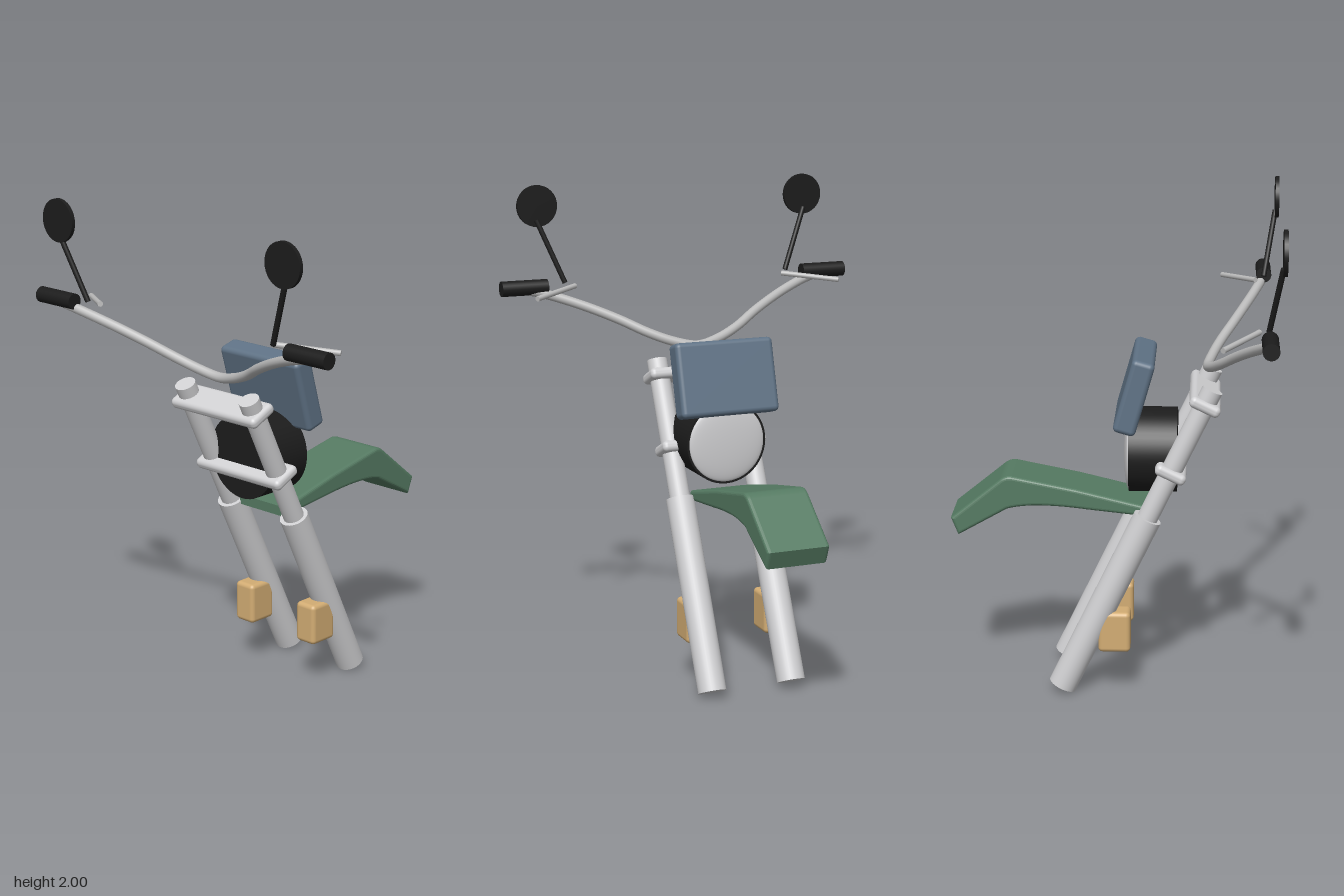
import * as THREE from 'three';
import { RoundedBoxGeometry } from 'three/addons/geometries/RoundedBoxGeometry.js';

const mat = (name, color) => {
  const m = new THREE.MeshStandardMaterial({ color });
  m.name = name;
  return m;
};

export function createModel() {
  const silver = mat('silver', 0xd0d0d2);
  const steel = mat('steel', 0xbababa);
  const black = mat('black', 0x1c1c1c);
  const green = mat('green', 0x557a62);
  const blueGrey = mat('blueGrey', 0x5f7285);
  const tan = mat('tan', 0xd2ac73);

  const group = new THREE.Group();
  const V = (x, y, z) => new THREE.Vector3(x, y, z);

  const add = (name, geometry, material, x = 0, y = 0, z = 0) => {
    const m = new THREE.Mesh(geometry, material);
    m.name = name;
    m.position.set(x, y, z);
    group.add(m);
    return m;
  };

  // Round bar between two points
  const rod = (name, a, b, r, material, sides = 24) => {
    const d = b.clone().sub(a);
    const m = add(name, new THREE.CylinderGeometry(r, r, d.length(), sides), material);
    m.position.copy(a).add(b).multiplyScalar(0.5);
    m.quaternion.setFromUnitVectors(V(0, 1, 0), d.normalize());
    return m;
  };

  // Points on the raked fork line, by height
  const rake = 0.444;
  const forkX = (y) => 0.205 - (y - 0.03) * Math.tan(rake);

  // Parts that exist on both sides
  for (const s of [1, -1]) {
    const side = s > 0 ? 'Right' : 'Left';
    const onFork = (y) => V(forkX(y), y, s * 0.174);
    rod('forkLower' + side, onFork(0.03), onFork(0.755), 0.058, silver, 32);
    rod('forkUpper' + side, onFork(0.7), onFork(1.287), 0.042, silver, 32);
    add('brakeCaliper' + side, new RoundedBoxGeometry(0.13, 0.17, 0.1, 3, 0.018), tan, -0.008, 0.275, s * 0.172);
    rod('grip' + side, V(-0.602, 1.588, s * 0.578), V(-0.602, 1.588, s * 0.775), 0.032, black);
    rod('lever' + side, V(-0.565, 1.59, s * 0.468), V(-0.428, 1.568, s * 0.675), 0.011, steel, 12);
    rod('mirrorStem' + side, V(-0.6, 1.6, s * 0.5), V(-0.645, 1.86, s * 0.605), 0.011, black, 12);
    rod('mirror' + side, V(-0.659, 1.917, s * 0.6), V(-0.643, 1.917, s * 0.6), 0.086, black, 32);
  }

  // Clamps joining the two fork legs
  for (const [name, y] of [['upperClamp', 1.225], ['lowerClamp', 0.945]]) {
    add(name, new RoundedBoxGeometry(0.13, 0.046, 0.46, 4, 0.02), silver, forkX(y), y, 0).rotation.z = rake;
  }

  // Handlebar swept back and up to the grips
  const half = [[-0.39, 1.36, 0.1], [-0.425, 1.398, 0.2], [-0.475, 1.448, 0.3],
    [-0.52, 1.492, 0.4], [-0.56, 1.53, 0.5], [-0.592, 1.562, 0.6], [-0.602, 1.578, 0.67]];
  const barPoints = [
    ...half.slice().reverse().map(([x, y, z]) => V(x, y, -z)),
    V(-0.372, 1.34, 0),
    ...half.map(([x, y, z]) => V(x, y, z)),
  ];
  add('handlebar', new THREE.TubeGeometry(new THREE.CatmullRomCurve3(barPoints), 64, 0.02, 14), steel);

  // Headlamp can and shallow domed lens
  rod('headlampCan', V(-0.254, 0.99, 0), V(-0.06, 0.99, 0), 0.172, black, 48);
  add('headlampLens', new THREE.SphereGeometry(0.163, 40, 24), silver, -0.06, 0.99, 0).scale.x = 0.13;

  // Tilted fly screen above the headlamp
  add('flyScreen', new RoundedBoxGeometry(0.092, 0.305, 0.424, 4, 0.02), blueGrey, -0.083, 1.253, 0)
    .rotation.z = 0.275;

  // High front fender, extruded from its side profile
  const bevel = 0.014;
  const fender = new THREE.Shape();
  fender.moveTo(-0.13, 0.755);
  fender.lineTo(0.1, 0.78);
  fender.quadraticCurveTo(0.33, 0.81, 0.435, 0.778);
  fender.lineTo(0.622, 0.671);
  fender.lineTo(0.641, 0.72);
  fender.lineTo(0.447, 0.878);
  fender.quadraticCurveTo(0.43, 0.891, 0.41, 0.888);
  fender.lineTo(0.15, 0.837);
  fender.lineTo(-0.13, 0.77);
  const fenderGeo = new THREE.ExtrudeGeometry(fender, {
    depth: 0.26 - 2 * bevel, bevelEnabled: true, bevelSize: bevel,
    bevelThickness: bevel, bevelSegments: 4, curveSegments: 10,
  });
  add('frontFender', fenderGeo, green, 0, 0, -0.13 + bevel);

  return group;
}
